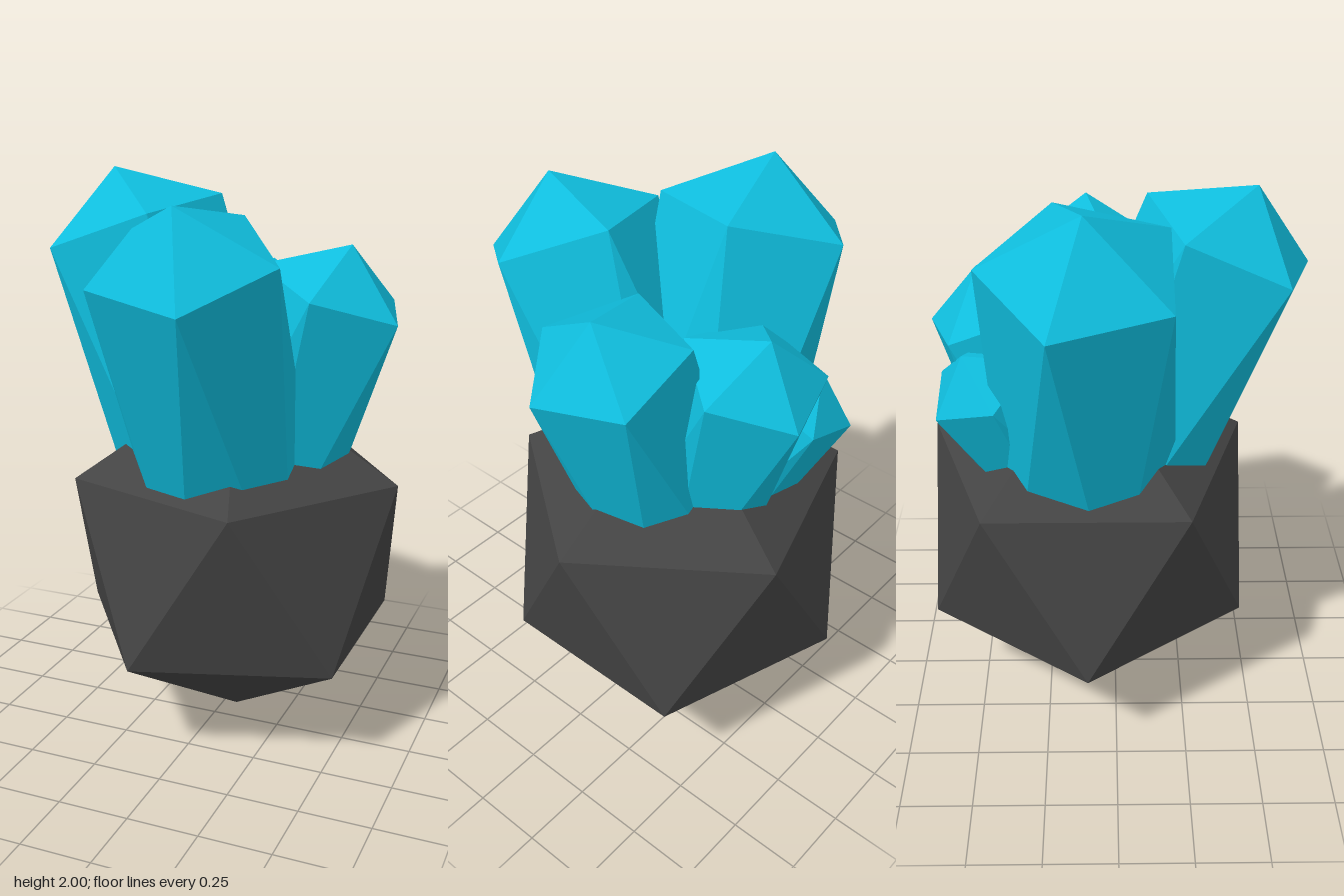
import * as THREE from 'three';

const CENTER = new THREE.Vector3(0.05, 0.66, -0.1);

// Icosahedron standing on a point; its upper six corners are lifted by `stretch`.
function stretchedIcosahedron(radius, stretch = 0) {
  const ringR = radius * 2 / Math.sqrt(5), ringY = radius / Math.sqrt(5);
  const upper = [], lower = [];
  for (let i = 0; i < 5; i++) {
    const a = i * Math.PI * 2 / 5, b = a + Math.PI / 5;
    upper.push([ringR * Math.cos(a), ringY + stretch, ringR * Math.sin(a)]);
    lower.push([ringR * Math.cos(b), -ringY, ringR * Math.sin(b)]);
  }
  const top = [0, radius + stretch, 0], bottom = [0, -radius, 0];
  const pos = [];
  for (let i = 0; i < 5; i++) {
    const j = (i + 1) % 5;
    pos.push(...top, ...upper[j], ...upper[i]);
    pos.push(...upper[i], ...upper[j], ...lower[i]);
    pos.push(...lower[i], ...upper[j], ...lower[j]);
    pos.push(...lower[i], ...lower[j], ...bottom);
  }
  const geo = new THREE.BufferGeometry();
  geo.setAttribute('position', new THREE.Float32BufferAttribute(pos, 3));
  geo.computeVertexNormals();
  return geo;
}

// Crystal growing from the rock's centre to `tip`, rolled so a shoulder corner points at `corner`.
function makeCrystal(name, tip, corner, radius, material) {
  const axis = new THREE.Vector3(...tip).sub(CENTER);
  const length = axis.length();
  axis.normalize();
  const side = new THREE.Vector3(...corner).sub(CENTER);
  side.addScaledVector(axis, -side.dot(axis)).normalize();
  const mesh = new THREE.Mesh(stretchedIcosahedron(radius, length - radius), material);
  const basis = new THREE.Matrix4().makeBasis(side, axis, side.clone().cross(axis));
  mesh.quaternion.setFromRotationMatrix(basis);
  mesh.position.copy(CENTER);
  mesh.name = name;
  return mesh;
}

export function createModel() {
  const group = new THREE.Group();
  group.name = 'crystalCluster';
  const rockMat = new THREE.MeshStandardMaterial({ color: 0x444444, flatShading: true });
  const crystalMat = new THREE.MeshStandardMaterial({ color: 0x0fbddd, flatShading: true });

  // Base rock
  const rock = new THREE.Mesh(stretchedIcosahedron(0.66), rockMat);
  rock.position.copy(CENTER);
  rock.name = 'rock';
  group.add(rock);

  // Crystals: name, tip, shoulder corner, radius
  const crystals = [
    ['frontCrystal', [0.05, 1.93, 0.46], [0.15, 1.62, 0.66], 0.353],
    ['tallCrystal', [-0.42, 2.0, -0.1], [-0.35, 1.81, -0.43], 0.37],
    ['sideCrystal', [0.45, 1.77, -0.1], [0.39, 1.61, 0.17], 0.302],
    ['backCrystal', [0.05, 1.66, -0.46], [0.3, 1.515, -0.41], 0.28],
    ['smallCrystal', [-0.19, 1.445, -0.5], [-0.02, 1.32, -0.61], 0.22],
  ];
  for (const [name, tip, corner, radius] of crystals) {
    group.add(makeCrystal(name, tip, corner, radius, crystalMat));
  }
  return group;
}
